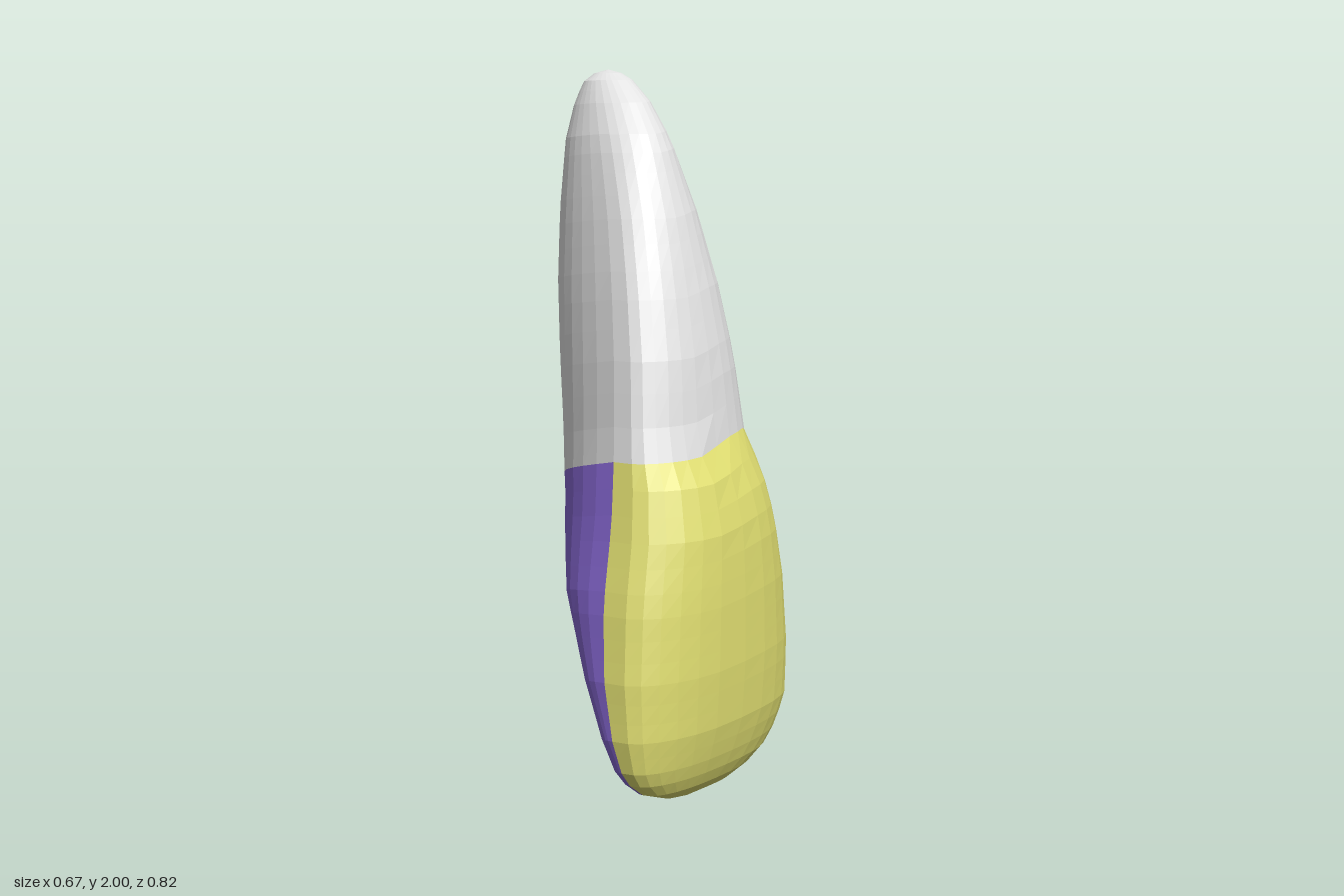
import * as THREE from 'three';

// Cross-sections of the tooth, in a frame turned about y (u = side to side, v = towards the lip):
// y, uLeft, uRight, vFront, vBack, v of the widest line, sideways shift of the back
const SECTIONS = [
  [0.00, -0.16, -0.06, 0.17, 0.17, 0.17, 0],
  [0.03, -0.33, 0.08, 0.225, 0.125, 0.17, 0],
  [0.10, -0.418, 0.215, 0.26, 0.08, 0.155, 0],
  [0.21, -0.442, 0.287, 0.285, 0.02, 0.14, 0],
  [0.37, -0.438, 0.30, 0.292, -0.08, 0.12, 0.01],
  [0.57, -0.405, 0.29, 0.286, -0.235, 0.10, 0.04],
  [0.74, -0.352, 0.264, 0.272, -0.31, 0.08, 0.06],
  [0.88, -0.312, 0.24, 0.232, -0.345, 0.06, 0.065],
  [0.97, -0.285, 0.217, 0.172, -0.365, 0.045, 0.07],
  [1.20, -0.24, 0.205, 0.14, -0.402, 0.01, 0.07],
  [1.40, -0.187, 0.20, 0.086, -0.428, -0.04, 0.06],
  [1.60, -0.122, 0.186, 0.018, -0.434, -0.11, 0.04],
  [1.80, -0.05, 0.168, -0.07, -0.426, -0.20, 0.02],
  [1.91, 0.012, 0.168, -0.16, -0.412, -0.27, 0.01],
  [1.97, 0.055, 0.165, -0.235, -0.387, -0.31, 0],
  [1.99, 0.088, 0.155, -0.28, -0.362, -0.322, 0],
  [2.00, 0.123, 0.123, -0.323, -0.323, -0.323, 0],
];
const TURN = THREE.MathUtils.degToRad(35);
const { lerp, clamp, degToRad } = THREE.MathUtils;

// piecewise linear lookup in rows of [key, values...]
function lookup(rows, key) {
  let k = 0;
  while (k < rows.length - 2 && key > rows[k + 1][0]) k++;
  const f = clamp((key - rows[k][0]) / (rows[k + 1][0] - rows[k][0]), 0, 1);
  return rows[k].map((n, i) => lerp(n, rows[k + 1][i], f));
}

const power = (n, p) => Math.sign(n) * Math.pow(Math.abs(n), p);

// point on the surface at an angle (degrees, 0 = +u, 90 = +v) and a height
function surfacePoint(deg, y) {
  const [, uL, uR, vF, vB, vW, shift] = lookup(SECTIONS, y);
  const c = Math.cos(degToRad(deg)), s = Math.sin(degToRad(deg));
  const front = s >= 0;
  // the back left corner is fuller than the back right one
  const rise = clamp((y - 0.35) / 0.45, 0, 1);
  const p = front ? lerp(0.83, 1, clamp((y - 1) / 0.8, 0, 1))
    : c < 0 ? lerp(0.68, 0.95, rise) : lerp(0.72, 1.08, rise);
  let u = (uL + uR) / 2 + (uR - uL) / 2 * power(c, p);
  let v = vW + (front ? vF - vW : vW - vB) * power(s, p);
  if (!front) {
    u -= shift * s;
    // hollow in the back of the crown
    v += 0.095 * Math.exp(-(((y - 0.36) / 0.15) ** 2)) * Math.exp(-(((deg - 275) / 30) ** 2));
  }
  const ct = Math.cos(TURN), st = Math.sin(TURN);
  return [u * ct + v * st, y, -u * st + v * ct];
}

// height of the gum line by angle
const GUM_LINE = [[22, 0.975], [50, 0.995], [75, 0.985], [105, 0.945], [184, 0.94],
  [230, 0.875], [260, 0.825], [290, 0.86], [340, 0.945], [382, 0.975]];
const gumLine = (deg) => lookup(GUM_LINE, deg)[1];

// angles where the back face starts and ends, by height fraction of the crown
const BACK_EDGES = [[0, 190, 350], [0.17, 203, 348], [0.36, 231, 338], [0.52, 244, 318],
  [0.72, 250, 295], [1, 254, 288]];

// faceted grid between two angle edges
function patch(from, to, columns, rows, height) {
  const grid = [];
  for (let j = 0; j <= rows; j++) {
    const g = j / rows, row = [];
    for (let i = 0; i <= columns; i++) {
      const deg = lerp(from(g), to(g), i / columns);
      row.push(surfacePoint(deg, height(g, deg)));
    }
    grid.push(row);
  }
  const pos = [];
  for (let j = 0; j < rows; j++) {
    for (let i = 0; i < columns; i++) {
      const a = grid[j][i], b = grid[j + 1][i], c = grid[j][i + 1], d = grid[j + 1][i + 1];
      pos.push(...a, ...b, ...c, ...c, ...b, ...d);
    }
  }
  const geo = new THREE.BufferGeometry();
  geo.setAttribute('position', new THREE.Float32BufferAttribute(pos, 3));
  geo.computeVertexNormals();
  return geo;
}

function material(name, color) {
  const m = new THREE.MeshStandardMaterial({ color });
  m.name = name;
  return m;
}

export function createModel() {
  const tooth = new THREE.Group();
  tooth.name = 'tooth';
  const root = new THREE.Group();
  root.name = 'root';
  const crown = new THREE.Group();
  crown.name = 'crown';
  tooth.add(crown, root);

  const rootMaterial = material('root grey', 0xe2e2e2);
  const fraction = (g) => Math.pow(g, 1.35);
  const frontStart = () => 22;
  const frontEnd = (g) => 180 + 4 * g;
  const backStart = (g) => lookup(BACK_EDGES, fraction(g))[1];
  const backEnd = (g) => lookup(BACK_EDGES, fraction(g))[2];

  const faces = [
    ['frontFace', material('front yellow', 0xdedc70), frontStart, frontEnd, 12],
    ['rightFace', material('right purple', 0x8869d4), frontEnd, backStart, 7],
    ['backFace', material('back green', 0x74b85e), backStart, backEnd, 10],
    ['leftFace', material('left blue', 0x5aa4de), backEnd, () => 382, 7],
  ];

  for (const [name, mat, from, to, columns] of faces) {
    // crown face, from the biting edge up to the gum line
    const face = new THREE.Mesh(
      patch(from, to, columns, 18, (g, deg) => fraction(g) * gumLine(deg)), mat);
    face.name = name;
    crown.add(face);

    // root side above it, from the gum line up to the tip
    const side = new THREE.Mesh(
      patch(() => from(1), () => to(1), columns, 18,
        (g, deg) => lerp(gumLine(deg), 2, 1 - Math.pow(1 - g, 1.6))), rootMaterial);
    side.name = name.replace('Face', 'RootSide');
    root.add(side);
  }
  return tooth;
}
